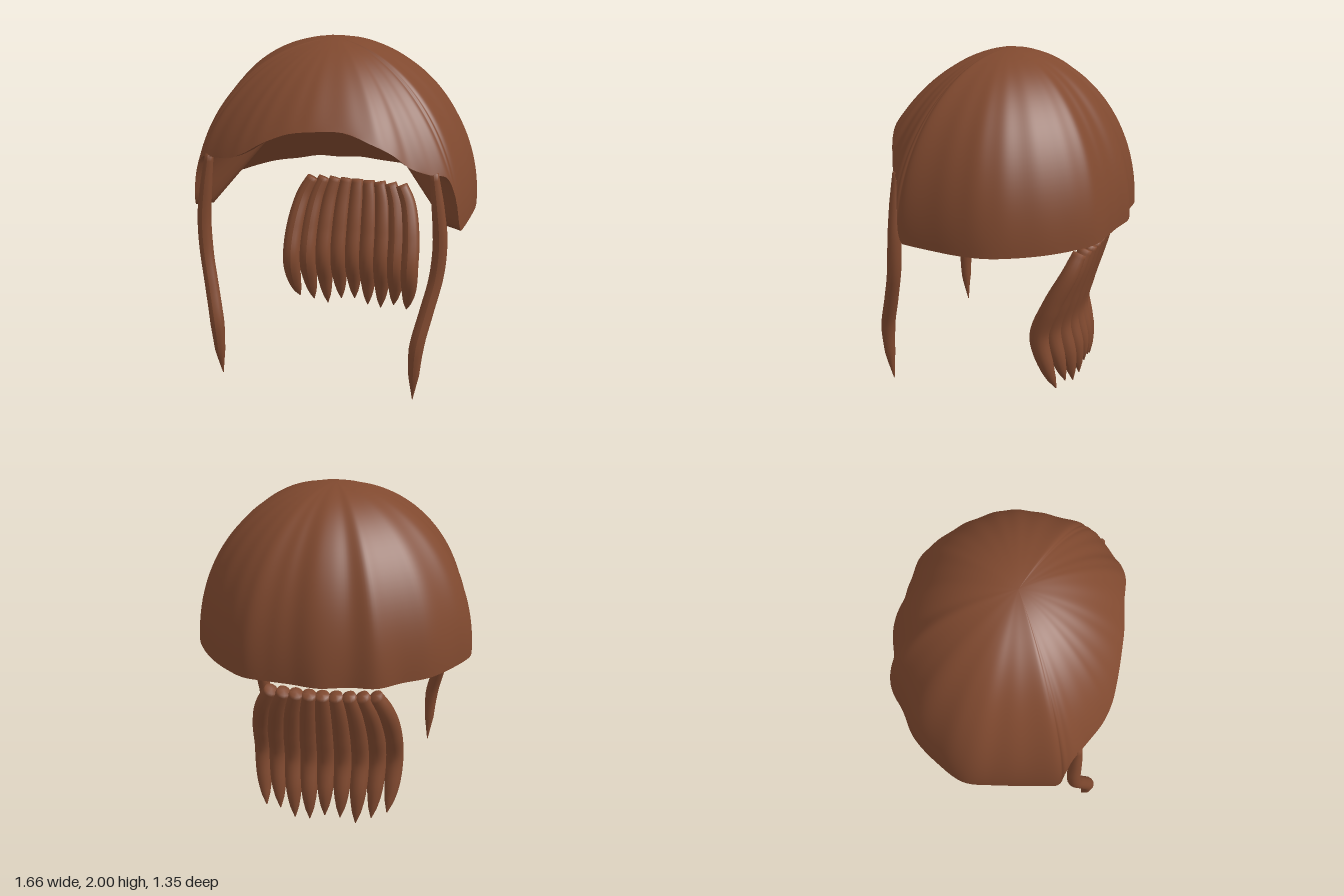
import * as THREE from 'three';

const material = new THREE.MeshStandardMaterial({ color: 0x80492f, side: THREE.DoubleSide });
const V = (p) => new THREE.Vector3(...p);

// Surface closed around u, running from v = 0 to v = 1
function ringSurface(cols, rows, fn) {
  const pos = [], idx = [];
  for (let j = 0; j <= rows; j++)
    for (let i = 0; i < cols; i++) pos.push(...fn(i / cols, j / rows));
  for (let j = 0; j < rows; j++)
    for (let i = 0; i < cols; i++) {
      const a = j * cols + i, c = j * cols + (i + 1) % cols;
      idx.push(a, a + cols, c, c, a + cols, c + cols);
    }
  const g = new THREE.BufferGeometry();
  g.setAttribute('position', new THREE.Float32BufferAttribute(pos, 3));
  g.setIndex(idx);
  g.computeVertexNormals();
  return g;
}

// Lower edge of the cap: hairline and back on the left, then the right side back to the front
const BASE = 1.04, TOP = 2, POLE_Z = 0.08;
const leftEdge = [
  [0, 1.635, 0.665], [0.17, 1.64, 0.65], [0.33, 1.585, 0.65], [0.43, 1.53, 0.625],
  [0.52, 1.45, 0.585], [0.62, 1.4, 0.53], [0.7, 1.37, 0.47], [0.75, 1.25, 0.45],
  [0.785, 1.04, 0.41], [0.815, 1.04, 0.22], [0.83, 1.04, 0.05], [0.815, 1.04, -0.1],
  [0.755, 1.04, -0.24], [0.66, 1.04, -0.385], [0.54, 1.04, -0.51], [0.43, 1.04, -0.59],
  [0.28, 1.04, -0.62], [0.15, 1.04, -0.64], [0, 1.04, -0.67],
];
const rightEdge = [
  [-0.17, 1.04, -0.635], [-0.32, 1.04, -0.63], [-0.45, 1.04, -0.54], [-0.6, 1.04, -0.45],
  [-0.74, 1.04, -0.28], [-0.825, 1.04, -0.12], [-0.82, 1.04, 0.05], [-0.8, 1.04, 0.22],
  [-0.775, 1.04, 0.41], [-0.745, 1.25, 0.45], [-0.69, 1.37, 0.48], [-0.6, 1.4, 0.54],
  [-0.48, 1.43, 0.615], [-0.38, 1.48, 0.65], [-0.26, 1.555, 0.662], [-0.12, 1.615, 0.665],
];
const edge = new THREE.CatmullRomCurve3([...leftEdge, ...rightEdge].map(V), true);

function edgePoint(u) {
  const p = edge.getPoint(u);
  return [p.x, Math.max(BASE, p.y), p.z];
}

// Inner side of the rim: thick around the back, thin at the hairline
function innerEdge(u) {
  const [x, y, z] = edgePoint(u);
  const k = THREE.MathUtils.lerp(0.88, 0.95, (y - BASE) / 0.6);
  return [x * k, y, z * k];
}

// Rounded dome from the crown down, cut off where it meets the edge, with faint strands
function dome(u, v) {
  const [ex, ey, ez] = edgePoint(u);
  const cut = (ey - BASE) / (TOP - BASE);
  const n = 2 - 0.35 * cut;
  const sCut = Math.pow(1 - Math.pow(cut, n), 1 / n);
  const s = sCut * Math.sin(v * Math.PI / 2);
  const h = Math.pow(Math.max(0, 1 - Math.pow(s, n)), 1 / n);
  const strand = 1 + 0.004 * Math.cos(u * Math.PI * 2 * 30) * Math.sin(Math.PI * v);
  const r = s / sCut * strand;
  return [ex * r, BASE + (TOP - BASE) * h, POLE_Z + (ez - POLE_Z) * r];
}

// Flat underside between the outer and inner edge
function rim(u, v) {
  const a = edgePoint(u), b = innerEdge(u);
  return a.map((q, i) => THREE.MathUtils.lerp(q, b[i], v));
}

// Hollow inside: straight slopes from the rim to a peak
function hollow(u, v) {
  const [x, y, z] = innerEdge(u);
  return [x * (1 - v), y + (1.88 - y) * v, z + (POLE_Z - z) * v];
}

// Tube with a radius that follows a list along its length, closed at both ends
function lock(name, points, radii) {
  const curve = new THREE.CatmullRomCurve3(points.map(V));
  const seg = 41, sides = 14;
  const g = new THREE.TubeGeometry(curve, seg, 1, sides);
  const pos = g.attributes.position, v = new THREE.Vector3(), ring = new THREE.Vector3();
  for (let j = 0; j <= seg; j++) {
    // the first two rings share one place, making a flat end
    const t = Math.max(0, j - 1) / (seg - 1);
    curve.getPointAt(j / seg, ring);
    const c = curve.getPointAt(t);
    const f = t * (radii.length - 1), k = Math.min(Math.floor(f), radii.length - 2);
    const r = j === 0 ? 0 : THREE.MathUtils.lerp(radii[k], radii[k + 1], f - k);
    for (let i = 0; i <= sides; i++) {
      const id = j * (sides + 1) + i;
      v.fromBufferAttribute(pos, id).sub(ring).multiplyScalar(r).add(c);
      pos.setXYZ(id, v.x, v.y, v.z);
    }
  }
  g.computeVertexNormals();
  const mesh = new THREE.Mesh(g, material);
  mesh.name = name;
  return mesh;
}

export function createModel() {
  const model = new THREE.Group();
  model.name = 'hair';

  // Cap: outer dome, rim and hollow inside
  const cap = new THREE.Group();
  cap.name = 'hairCap';
  const parts = {
    outerDome: ringSurface(280, 36, dome),
    capRim: ringSurface(140, 1, rim),
    innerHollow: ringSurface(140, 12, hollow),
  };
  for (const [name, geometry] of Object.entries(parts)) {
    const mesh = new THREE.Mesh(geometry, material);
    mesh.name = name;
    cap.add(mesh);
  }
  model.add(cap);

  // Long lock in front of each ear
  for (const s of [1, -1]) {
    const path = [
      [0.635, 1.4, 0.5], [0.665, 1.2, 0.505], [0.685, 1, 0.51], [0.675, 0.8, 0.53],
      [0.635, 0.6, 0.58], [0.595, 0.4, 0.632], [0.585, 0.2, 0.635], [0.58, 0.035, 0.62],
    ].map(([x, y, z]) => [s * x, y, z]);
    model.add(lock(s > 0 ? 'leftFrontLock' : 'rightFrontLock', path,
      [0.024, 0.034, 0.04, 0.041, 0.04, 0.041, 0.042, 0.031, 0.002]));
  }

  // Row of nine overlapping locks at the back, the outer ones swept forward
  const backLocks = new THREE.Group();
  backLocks.name = 'backLocks';
  const heights = [0.915, 0.8, 0.6, 0.4, 0.2];
  const spread = [0.3, 0.355, 0.395, 0.403, 0.395, 0.375];
  const zMiddle = [-0.495, -0.46, -0.4, -0.358, -0.405, -0.425];
  const zOuter = [-0.465, -0.425, -0.33, -0.26, -0.305, -0.36];
  const tips = [0.06, 0.03, 0, 0.04, 0.05, 0.015, 0.01, 0.055, 0.05];
  tips.forEach((tip, i) => {
    const u = (i - 4) / 4;
    const path = [...heights, tip].map((y, k) =>
      [u * spread[k], y, THREE.MathUtils.lerp(zMiddle[k], zOuter[k], u * u)]);
    backLocks.add(lock('backLock' + (i + 1), path, [
      0.04, 0.046, 0.05, 0.053, 0.055, 0.056, 0.057, 0.057, 0.057, 0.057, 0.055, 0.05, 0.041, 0.027, 0.003,
    ]));
  });
  model.add(backLocks);

  return model;
}
